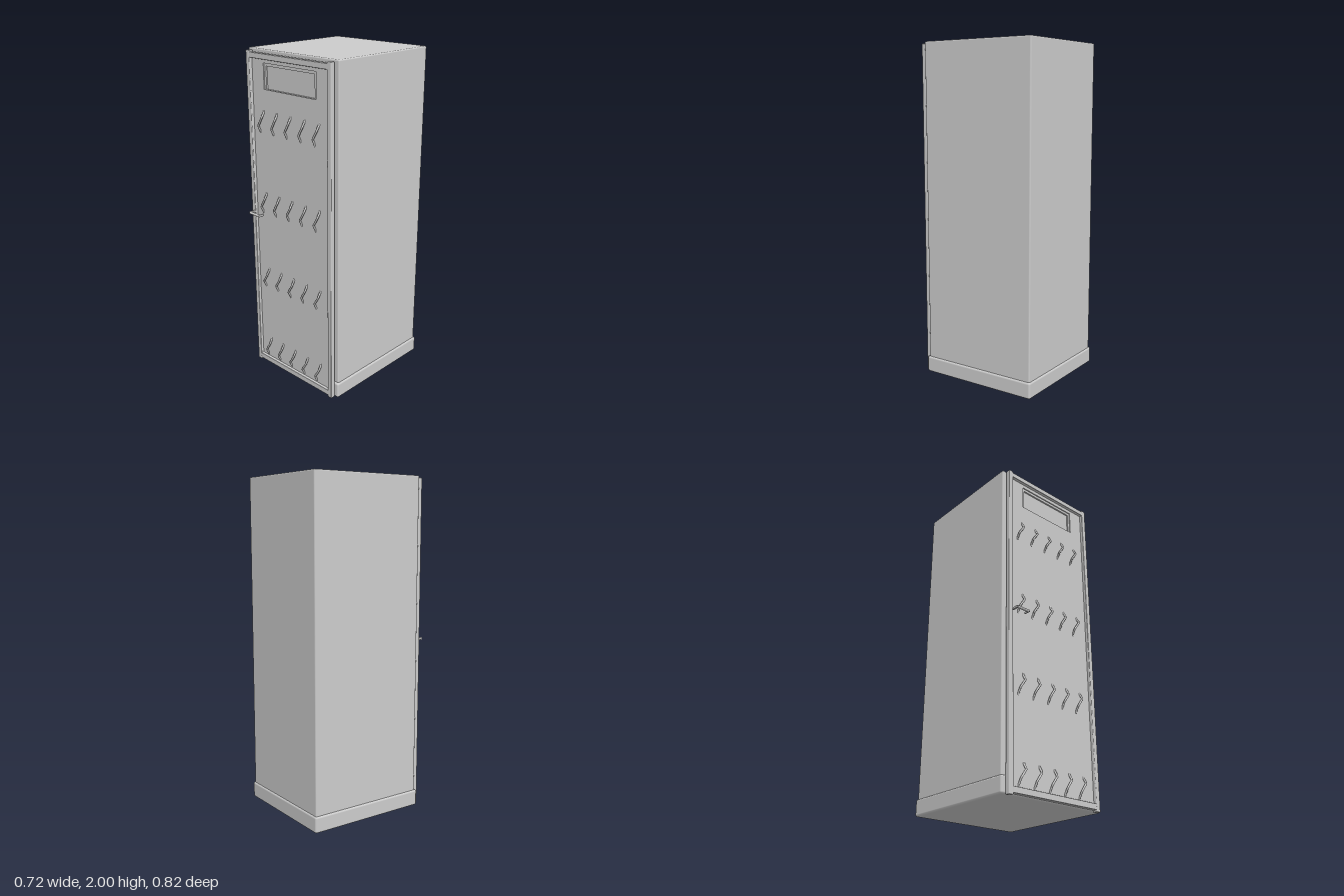
import * as THREE from 'three';
import { RoundedBoxGeometry } from 'three/addons/geometries/RoundedBoxGeometry.js';

export function createModel() {
  const model = new THREE.Group();
  model.name = 'cabinet';
  const steel = new THREE.MeshStandardMaterial({ color: 0xcccccc });
  steel.name = 'light grey steel';

  const add = (name, geometry, parent = model) => {
    const mesh = new THREE.Mesh(geometry, steel);
    mesh.name = name;
    parent.add(mesh);
    return mesh;
  };
  // Box given by its lower and upper corners, rounded when r > 0
  const box = (name, [x0, y0, z0], [x1, y1, z1], r = 0, parent = model) => {
    const size = [x1 - x0, y1 - y0, z1 - z0];
    const geometry = r ? new RoundedBoxGeometry(...size, 3, r) : new THREE.BoxGeometry(...size);
    geometry.translate((x0 + x1) / 2, (y0 + y1) / 2, (z0 + z1) / 2);
    return add(name, geometry, parent);
  };

  // Cabinet body and plinth
  box('body', [-0.35, 0.03, -0.404], [0.35, 2, 0.327], 0.008);
  box('plinth', [-0.359, 0.003, -0.412], [0.359, 0.1, 0.339], 0.012);

  const door = new THREE.Group();
  door.name = 'door';
  model.add(door);

  // Door frame
  for (const s of [-1, 1]) {
    const a = s * 0.3, b = s * 0.331;
    box('doorStile', [Math.min(a, b), 0, 0.337], [Math.max(a, b), 1.99, 0.366], 0.005, door);
  }
  box('topRail', [-0.31, 1.95, 0.338], [0.31, 1.982, 0.365], 0.004, door);
  box('bottomRail', [-0.31, 0.01, 0.338], [0.31, 0.045, 0.365], 0.004, door);

  // Door panel with an opening for the label tray
  const rectangle = (Type, x, y0, y1) => {
    const path = new Type();
    path.moveTo(-x, y0);
    path.lineTo(x, y0);
    path.lineTo(x, y1);
    path.lineTo(-x, y1);
    path.closePath();
    return path;
  };
  const panelShape = rectangle(THREE.Shape, 0.302, 0.04, 1.955);
  panelShape.holes.push(rectangle(THREE.Path, 0.205, 1.782, 1.928));
  const panel = new THREE.ExtrudeGeometry(panelShape, { depth: 0.006, bevelEnabled: false });
  add('doorPanel', panel.translate(0, 0, 0.341), door);

  // Recessed label tray with a raised lip on three sides
  box('trayBack', [-0.21, 1.778, 0.3275], [0.21, 1.932, 0.332], 0, door);
  box('trayTop', [-0.21, 1.912, 0.33], [0.21, 1.932, 0.341], 0, door);
  box('trayFloor', [-0.21, 1.778, 0.33], [0.21, 1.784, 0.341], 0, door);
  for (const s of [-1, 1])
    box('traySide', [s * 0.2 - 0.01, 1.778, 0.33], [s * 0.2 + 0.01, 1.932, 0.341], 0, door);

  // Bent wire hooks threaded through the panel
  const wire = new THREE.CurvePath();
  const points = [
    [0.018, 0.078, 0.334], [0.018, 0.052, 0.346], [0.017, 0.018, 0.367],
    [-0.016, -0.032, 0.363], [-0.018, -0.066, 0.346], [-0.018, -0.097, 0.334],
  ].map((p) => new THREE.Vector3(...p));
  for (let i = 1; i < points.length; i++) wire.add(new THREE.LineCurve3(points[i - 1], points[i]));
  const hook = new THREE.TubeGeometry(wire, 20, 0.006, 8);
  for (let row = 0; row < 4; row++)
    for (let col = -2; col <= 2; col++)
      add('hook', hook, door).position.set(-0.012 + col * 0.11, 0.125 + row * 0.492, 0);

  // Lever handle
  const handle = new THREE.Group();
  handle.name = 'handle';
  door.add(handle);
  box('handlePost', [-0.309, 1.028, 0.362], [-0.297, 1.042, 0.404], 0.003, handle);
  const grip = new THREE.CylinderGeometry(0.008, 0.008, 0.083, 16).rotateZ(Math.PI / 2);
  add('handleGrip', grip, handle).position.set(-0.264, 1.035, 0.404);
  box('handleTip', [-0.224, 1.028, 0.372], [-0.217, 1.042, 0.41], 0.002, handle);

  return model;
}
